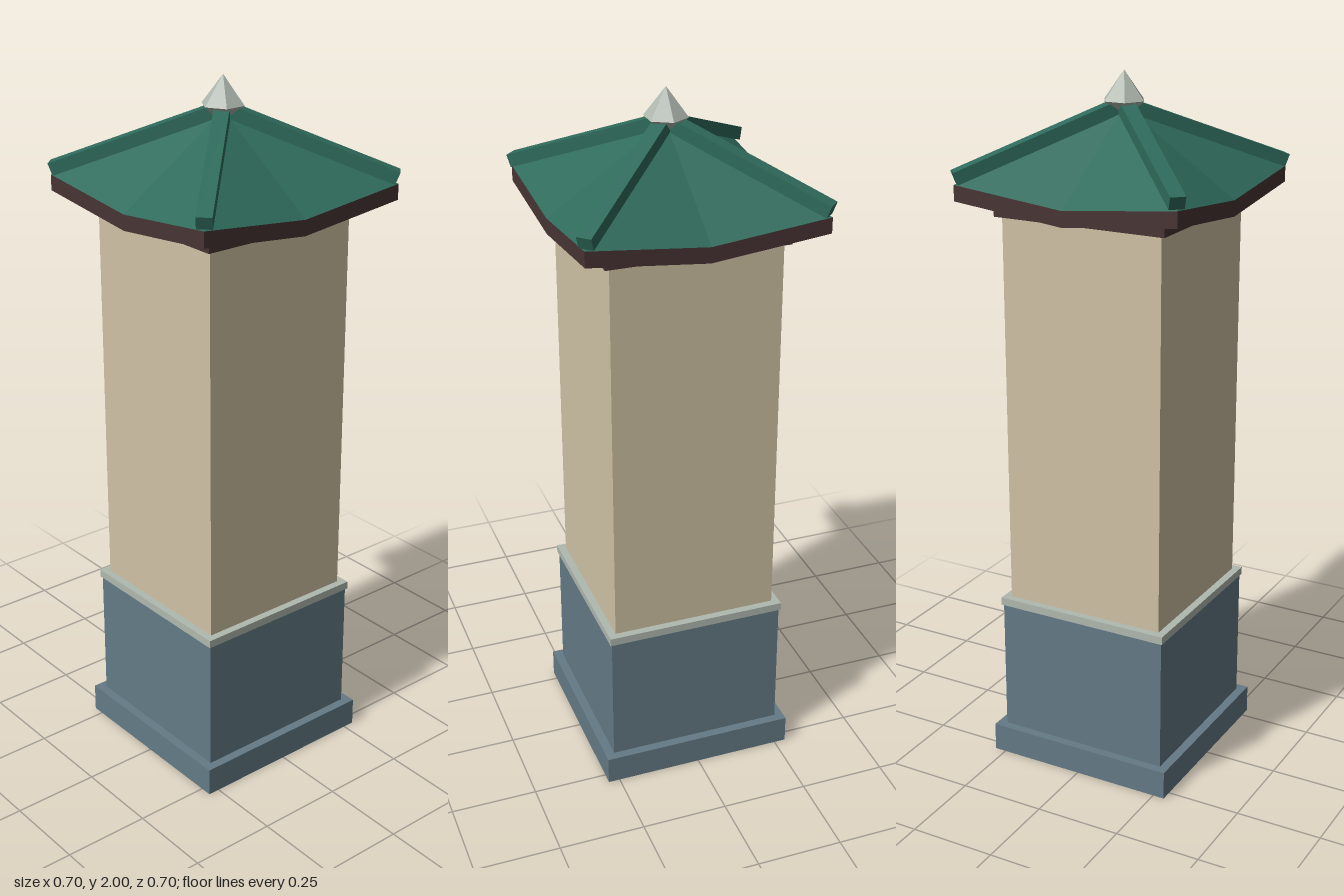
import * as THREE from 'three';

const material = (name, color) => {
  const m = new THREE.MeshStandardMaterial({ color });
  m.name = name;
  return m;
};

// Square ring of eight points (corners and edge midpoints), counter-clockwise from above
function eaveRing(half, cornerY, midY) {
  const pts = [];
  for (let i = 0; i < 8; i++) {
    const a = (i * Math.PI) / 4;
    const x = half * Math.sign(Math.round(Math.cos(a) * 10));
    const z = -half * Math.sign(Math.round(Math.sin(a) * 10));
    pts.push([x, i % 2 ? cornerY : midY, z]);
  }
  return pts;
}

function facets(triangles) {
  const g = new THREE.BufferGeometry();
  g.setAttribute('position', new THREE.Float32BufferAttribute(triangles.flat(2), 3));
  g.computeVertexNormals();
  return g;
}

export function createModel() {
  const model = new THREE.Group();
  model.name = 'tower';
  const slate = material('slate blue', 0x647b86);
  const stone = material('pale stone', 0xb0b9b0);
  const plaster = material('cream plaster', 0xd0c3a5);
  const timber = material('dark timber', 0x483434);
  const tile = material('green tile', 0x2f6b5c);

  const add = (name, geometry, mat, parent = model) => {
    const mesh = new THREE.Mesh(geometry, mat);
    mesh.name = name;
    parent.add(mesh);
    return mesh;
  };
  const block = (name, half, y0, y1, mat) => {
    const mesh = add(name, new THREE.BoxGeometry(half * 2, y1 - y0, half * 2), mat);
    mesh.position.y = (y0 + y1) / 2;
  };

  // Stacked square body
  block('plinth', 0.284, 0, 0.083, slate);
  block('lowerWall', 0.258, 0.083, 0.475, slate);
  block('stringCourse', 0.263, 0.475, 0.498, stone);
  block('shaft', 0.241, 0.498, 1.64, plaster);
  block('soffitPlate', 0.257, 1.625, 1.675, timber);

  // Upturned eave board with underside, and the tiled faces above
  const top = eaveRing(0.332, 1.717, 1.682);
  const bottom = eaveRing(0.332, 1.673, 1.638);
  const apex = [0, 1.905, 0];
  const under = [0, 1.638, 0];
  const eaves = [];
  const roof = [];
  for (let i = 0; i < 8; i++) {
    const j = (i + 1) % 8;
    eaves.push([bottom[i], bottom[j], top[j]], [bottom[i], top[j], top[i]]);
    eaves.push([under, bottom[j], bottom[i]]);
    roof.push([apex, top[i], top[j]]);
  }
  add('eaves', facets(eaves), timber);
  add('roofFaces', facets(roof), tile);

  // Hip ridges running from the corners to the peak
  const ridges = new THREE.Group();
  ridges.name = 'hipRidges';
  model.add(ridges);
  const run = 0.33 * Math.SQRT2;
  const rise = 0.175;
  for (let i = 0; i < 4; i++) {
    const arm = new THREE.Group();
    arm.name = 'hipRidgeArm';
    arm.rotation.y = Math.PI / 4 + (i * Math.PI) / 2;
    const bar = add('hipRidge', new THREE.BoxGeometry(0.042, 0.036, Math.hypot(run, rise)), tile, arm);
    bar.position.set(0, 1.736 + rise / 2, run / 2);
    bar.rotation.x = Math.atan2(rise, run);
    ridges.add(arm);
  }

  // Six-sided finial
  const profile = [[0, 1.865], [0.061, 1.92], [0, 2]].map(([r, y]) => new THREE.Vector2(r, y));
  const finialGeometry = new THREE.LatheGeometry(profile, 6).toNonIndexed();
  finialGeometry.rotateY(Math.PI / 6 + Math.PI / 3);
  finialGeometry.computeVertexNormals();
  add('finial', finialGeometry, stone);

  return model;
}
